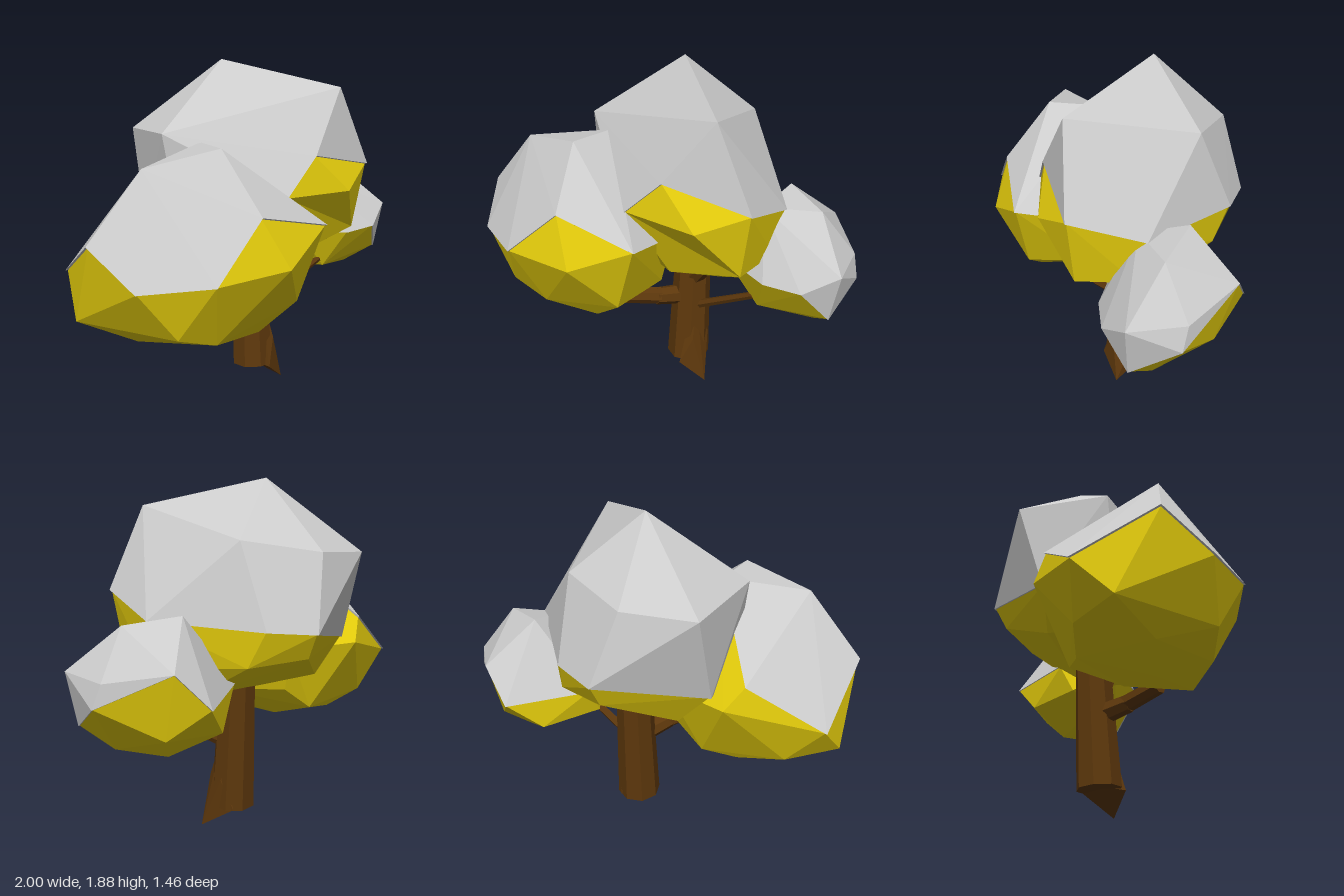
import * as THREE from 'three';
import { ConvexGeometry } from 'three/addons/geometries/ConvexGeometry.js';

const material = (color) => new THREE.MeshStandardMaterial({ color, flatShading: true });
const V = ([x, y, z]) => new THREE.Vector3(x, y, z);

function addMesh(parent, name, geometry, mat) {
  const mesh = new THREE.Mesh(geometry, mat);
  mesh.name = name;
  parent.add(mesh);
  return mesh;
}

function fromPoints(points) {
  const g = new THREE.BufferGeometry().setFromPoints(points);
  g.computeVertexNormals();
  return g;
}

// Faceted crown: hull faces touching a low point are leaves, the others form a thin snow cap.
// A fourth number in a point moves it along z after the faces are found, for slight hollows.
function crown(name, { top, rim, low }, leafMat, capMat) {
  const group = new THREE.Group();
  group.name = name;
  const list = [...top, ...rim, ...low];
  const hull = list.map(V);
  const points = list.map(([x, y, z, dz = 0]) => new THREE.Vector3(x, y, z + dz));
  const capCount = top.length + rim.length;
  const centre = points.reduce((s, p) => s.add(p), new THREE.Vector3()).divideScalar(points.length);
  const lifted = points.map((p) => p.clone().sub(centre).multiplyScalar(1.02).add(centre));
  const pos = new ConvexGeometry(hull).attributes.position;
  const leaves = [], cap = [], capTris = [], edges = new Set();
  const nearest = (v) => hull.reduce((b, p, i) => (p.distanceTo(v) < hull[b].distanceTo(v) ? i : b), 0);
  for (let i = 0; i < pos.count; i += 3) {
    const t = [0, 1, 2].map((k) => nearest(new THREE.Vector3().fromBufferAttribute(pos, i + k)));
    leaves.push(...t.map((k) => points[k]));
    if (t.every((k) => k < capCount)) {
      capTris.push(t);
      t.forEach((a, k) => edges.add(a + '_' + t[(k + 1) % 3]));
    }
  }
  // Cap surface and its narrow edge
  for (const t of capTris) {
    cap.push(...t.map((k) => lifted[k]));
    t.forEach((a, k) => {
      const b = t[(k + 1) % 3];
      if (!edges.has(b + '_' + a)) {
        cap.push(lifted[b], lifted[a], points[a], lifted[b], points[a], points[b]);
      }
    });
  }
  addMesh(group, name + 'Leaves', fromPoints(leaves), leafMat);
  addMesh(group, name + 'Snow', fromPoints(cap), capMat);
  return group;
}

// Tapered limb between two points
function limb(parent, name, a, b, r0, r1, sides, mat) {
  const from = V(a), dir = V(b).sub(from);
  const g = new THREE.CylinderGeometry(r1, r0, dir.length(), sides);
  const mesh = addMesh(parent, name, g, mat);
  mesh.position.copy(from).addScaledVector(dir, 0.5);
  mesh.quaternion.setFromUnitVectors(new THREE.Vector3(0, 1, 0), dir.normalize());
}

export function createModel() {
  const tree = new THREE.Group();
  tree.name = 'tree';
  const bark = material(0x5e380c), leaf = material(0xe4cc0c), snow = material(0xcccccc);

  // Trunk, root and branches
  limb(tree, 'trunk', [0.08, 0.12, -0.112], [0.07, 0.95, -0.16], 0.122, 0.095, 8, bark);
  addMesh(tree, 'root', new ConvexGeometry([
    [0.25, 0.0, -0.07], [0.13, 0.12, 0.02], [0.13, 0.12, -0.22], [0.06, 0.13, -0.1],
    [0.18, 0.28, -0.04], [0.18, 0.28, -0.17], [0.13, 0.55, -0.11],
  ].map(V)), bark);
  limb(tree, 'frontBranchBase', [0.06, 0.52, -0.1], [-0.01, 0.55, 0.07], 0.06, 0.05, 7, bark);
  limb(tree, 'frontBranch', [0.0, 0.55, 0.05], [-0.13, 0.59, 0.25], 0.05, 0.045, 7, bark);
  limb(tree, 'sideBranch', [0.13, 0.47, -0.11], [0.52, 0.7, -0.13], 0.025, 0.02, 6, bark);
  limb(tree, 'upperBranch', [0.11, 0.66, -0.12], [0.28, 0.88, -0.1], 0.06, 0.055, 7, bark);

  // Lower crown at the front
  tree.add(crown('frontCrown', {
    top: [[-0.68, 1.42, 0.35], [-0.3, 1.49, 0.37], [-0.31, 1.48, 0.11], [-0.03, 1.24, 0.32]],
    rim: [[-0.96, 1.1, 0.4], [-0.8, 0.92, 0.61], [-0.46, 0.94, 0.72], [-0.19, 1.2, 0.6],
      [0.22, 1.09, 0.47], [0.15, 1.02, 0.1], [-0.2, 0.98, -0.24], [-0.65, 1.12, -0.22], [-0.99, 0.87, 0]],
    low: [[-0.58, 1.0, -0.3], [-1.0, 0.67, 0.2], [-0.61, 0.66, 0.6], [-0.06, 0.95, 0.66],
      [-0.73, 0.57, 0.33], [-0.42, 0.52, 0.28], [-0.4, 0.58, 0.55], [-0.12, 0.55, 0.42],
      [0.08, 0.7, 0.45], [0.08, 0.72, 0.12], [-0.3, 0.53, 0.1], [-0.8, 0.65, -0.03],
      [-0.55, 0.59, -0.08], [-0.38, 0.62, -0.16], [-0.22, 0.74, -0.16]],
  }, leaf, snow));

  // Tall main crown
  tree.add(crown('mainCrown', {
    top: [[-0.06, 1.865, -0.21], [0.46, 1.73, 0.15], [0.21, 1.58, -0.46], [-0.17, 1.52, -0.57],
      [-0.48, 1.53, 0.05], [-0.5, 1.5, -0.42]],
    rim: [[0.6, 1.2, -0.25], [0.66, 1.31, 0.12], [0.25, 1.41, 0.295], [0.06, 1.22, 0.36],
      [-0.42, 1.13, 0.07], [-0.49, 1.04, -0.28], [-0.08, 1.15, -0.69], [0.16, 1.17, -0.63]],
    low: [[0.46, 1.21, 0.21, 0.085], [0.6, 0.95, 0.1], [0.58, 0.95, -0.2], [0.42, 0.83, 0],
      [0.2, 0.85, 0.18], [0.12, 0.77, -0.15], [-0.08, 1.02, -0.62], [0.22, 0.99, -0.56],
      [-0.32, 0.85, -0.3], [0.36, 0.8, -0.27], [-0.26, 0.89, 0.1]],
  }, leaf, snow));

  // Small crown at the side
  tree.add(crown('sideCrown', {
    top: [[0.5, 1.24, -0.44], [0.76, 1.2, -0.34], [0.51, 1.19, -0.2], [0.64, 1.03, -0.68],
      [0.9, 0.97, -0.46], [0.99, 0.98, -0.19]],
    rim: [[0.85, 0.88, -0.07], [0.65, 0.87, -0.03], [0.35, 0.9, -0.08], [0.2, 0.88, -0.38],
      [0.48, 0.86, -0.72], [0.94, 0.85, -0.44], [0.94, 0.71, -0.2]],
    low: [[0.8, 0.6, -0.3], [0.59, 0.58, -0.46], [0.55, 0.65, -0.13],
      [0.2, 0.73, -0.3], [0.42, 0.63, -0.3], [0.36, 0.7, -0.58], [0.65, 0.7, -0.59]],
  }, leaf, snow));

  return tree;
}
